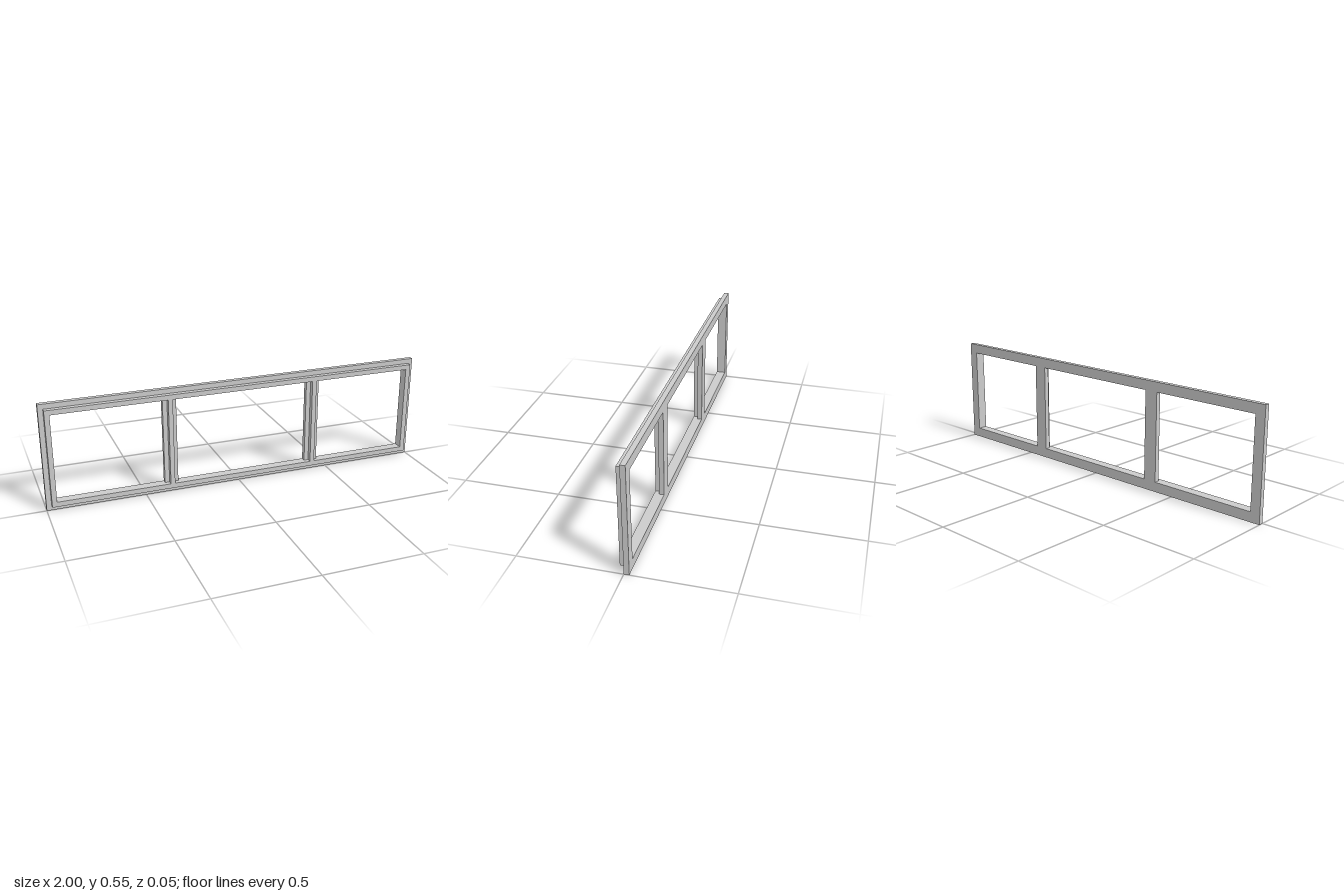
import * as THREE from 'three';

const H = 0.552, DEPTH = 0.025, STEP = 0.025, RAIL = 0.05;
const MULLIONS = [-0.365, 0.41]; // centre x of each upright
const MULLION_W = 0.07, BEAD_W = 0.023;

// Adds a rectangle as a closed loop to a shape or hole path
function rect(path, x0, y0, x1, y1) {
  path.moveTo(x0, y0);
  path.lineTo(x1, y0);
  path.lineTo(x1, y1);
  path.lineTo(x0, y1);
  path.closePath();
  return path;
}

// Flat frame with rectangular openings given as [left, right] pairs
function framePlate(inset, openings) {
  const shape = rect(new THREE.Shape(), -1 + inset, inset, 1 - inset, H - inset);
  for (const [x0, x1] of openings) {
    shape.holes.push(rect(new THREE.Path(), x0, RAIL, x1, H - RAIL));
  }
  return new THREE.ExtrudeGeometry(shape, { depth: DEPTH, bevelEnabled: false });
}

export function createModel() {
  const group = new THREE.Group();
  group.name = 'windowFrame';
  const material = new THREE.MeshStandardMaterial({ color: 0xcccccc });
  const add = (name, geometry) => {
    const mesh = new THREE.Mesh(geometry, material);
    mesh.name = name;
    group.add(mesh);
    return mesh;
  };

  // Back plate with three openings separated by the mullions
  const edges = [-1 + RAIL];
  for (const x of MULLIONS) edges.push(x - MULLION_W / 2, x + MULLION_W / 2);
  edges.push(1 - RAIL);
  const panes = [0, 2, 4].map((i) => [edges[i], edges[i + 1]]);
  add('backFrame', framePlate(0, panes)).position.z = -DEPTH;

  // Narrower raised rim on the front
  add('frontRim', framePlate(STEP, [[-1 + RAIL, 1 - RAIL]]));

  // Raised bead down the middle of each mullion
  MULLIONS.forEach((x, i) => {
    const bead = add(i ? 'leftMullionBead' : 'rightMullionBead',
      new THREE.BoxGeometry(BEAD_W, H - 2 * RAIL, DEPTH));
    bead.position.set(x, H / 2, DEPTH / 2);
  });

  return group;
}
